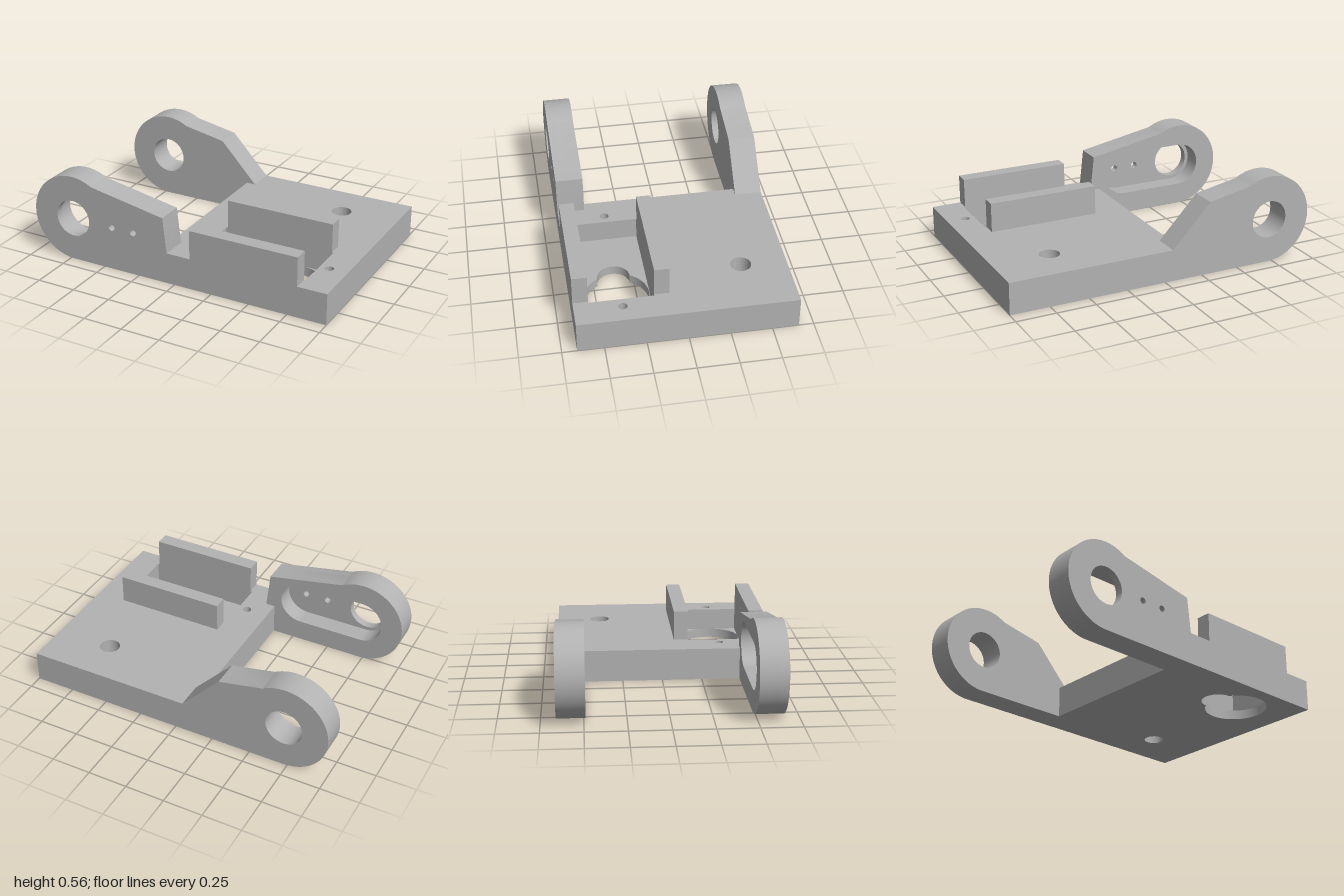
import * as THREE from 'three';
import { toCreasedNormals } from 'three/addons/utils/BufferGeometryUtils.js';

const metal = new THREE.MeshStandardMaterial({ color: 0xb2b2b2 });
metal.name = 'grey metal';

const PIVOT = { x: -0.72, y: 0.28, r: 0.28 };

function circle(x, y, r) {
  const p = new THREE.Path();
  p.absarc(x, y, r, 0, Math.PI * 2, false);
  return p;
}

function polygon(points) {
  return new THREE.Shape(points.map(([x, y]) => new THREE.Vector2(x, y)));
}

function rectangle(x0, y0, x1, y1) {
  return polygon([[x0, y0], [x1, y0], [x1, y1], [x0, y1]]);
}

function extrude(shape, holes, depth) {
  shape.holes = holes;
  const geo = new THREE.ExtrudeGeometry(shape, { depth, bevelEnabled: false, curveSegments: 40 });
  return toCreasedNormals(geo, 0.5);
}

// Horizontal slab: the shape is drawn in x and z
function slab(name, shape, holes, y0, y1) {
  const geo = extrude(shape, holes, y1 - y0);
  geo.rotateX(Math.PI / 2).translate(0, y1, 0);
  const mesh = new THREE.Mesh(geo, metal);
  mesh.name = name;
  return mesh;
}

// Upright plate: the shape is drawn in x and y
function upright(name, shape, holes, z0, z1) {
  const mesh = new THREE.Mesh(extrude(shape, holes, z1 - z0).translate(0, 0, z0), metal);
  mesh.name = name;
  return mesh;
}

// Arm outline: straight foot, given upper corners, round pivot end
function armShape(upperCorners) {
  const s = new THREE.Shape();
  s.moveTo(PIVOT.x, 0);
  s.lineTo(-0.05, 0);
  for (const [x, y] of upperCorners) s.lineTo(x, y);
  s.absarc(PIVOT.x, PIVOT.y, PIVOT.r, 1.035, Math.PI * 1.5, false);
  return s;
}

// Base outline, notched at both left corners for the arms
function baseShape() {
  return polygon([
    [-0.05, -0.66], [1, -0.66], [1, 0.66], [-0.05, 0.66],
    [-0.05, 0.49], [-0.11, 0.49], [-0.11, -0.49], [-0.05, -0.49],
  ]);
}

function keyhole() {
  const p = new THREE.Path();
  const a = Math.PI - Math.atan2(0.1, 0.1674);
  p.absarc(0.63, 0.375, 0.195, -a, a, false);
  p.absarc(0.463, 0.375, 0.1, Math.PI / 2, Math.PI * 1.5, false);
  return p;
}

function stadium(x0, x1, y, r) {
  const p = new THREE.Path();
  p.absarc(x0, y, r, Math.PI / 2, Math.PI * 1.5, false);
  p.absarc(x1, y, r, -Math.PI / 2, Math.PI / 2, false);
  return p;
}

export function createModel() {
  const model = new THREE.Group();
  model.name = 'hinge bracket';

  // Base: floor with keyhole, upper layer with pocket and blind screw holes
  const pocketFloor = 0.06;
  const base = new THREE.Group();
  base.name = 'base';
  base.add(
    slab('baseFloor', baseShape(), [circle(0.63, -0.38, 0.063), keyhole()], 0, pocketFloor),
    slab('baseTop', baseShape(), [
      circle(0.63, -0.38, 0.063),
      rectangle(0.095, 0.178, 0.822, 0.568),
      circle(0.035, 0.373, 0.027),
      circle(0.883, 0.373, 0.027),
    ], pocketFloor, 0.2),
  );
  model.add(base);

  // Two rails beside the pocket
  for (const [name, z0, z1] of [['innerRail', 0.088, 0.178], ['outerRail', 0.568, 0.66]]) {
    model.add(upright(name, rectangle(0.107, 0.2, 0.812, 0.386), [], z0, z1));
  }

  // Front arm: thin outer wall with pin holes, inner body with a long slot
  const frontArm = new THREE.Group();
  frontArm.name = 'frontArm';
  const frontCorners = [[-0.05, 0.2], [-0.075, 0.427]];
  frontArm.add(
    upright('frontArmWall', armShape(frontCorners), [
      circle(PIVOT.x, PIVOT.y, 0.118),
      circle(-0.437, 0.28, 0.021),
      circle(-0.285, 0.28, 0.021),
    ], 0.61, 0.66),
    upright('frontArmBody', armShape(frontCorners), [stadium(PIVOT.x, -0.3, 0.28, 0.142)], 0.49, 0.61),
  );
  model.add(frontArm);

  // Back arm: solid, with a sloped shoulder
  model.add(upright('backArm', armShape([[-0.05, 0.2], [-0.297, 0.465]]),
    [circle(PIVOT.x, PIVOT.y, 0.118)], -0.66, -0.49));

  return model;
}
